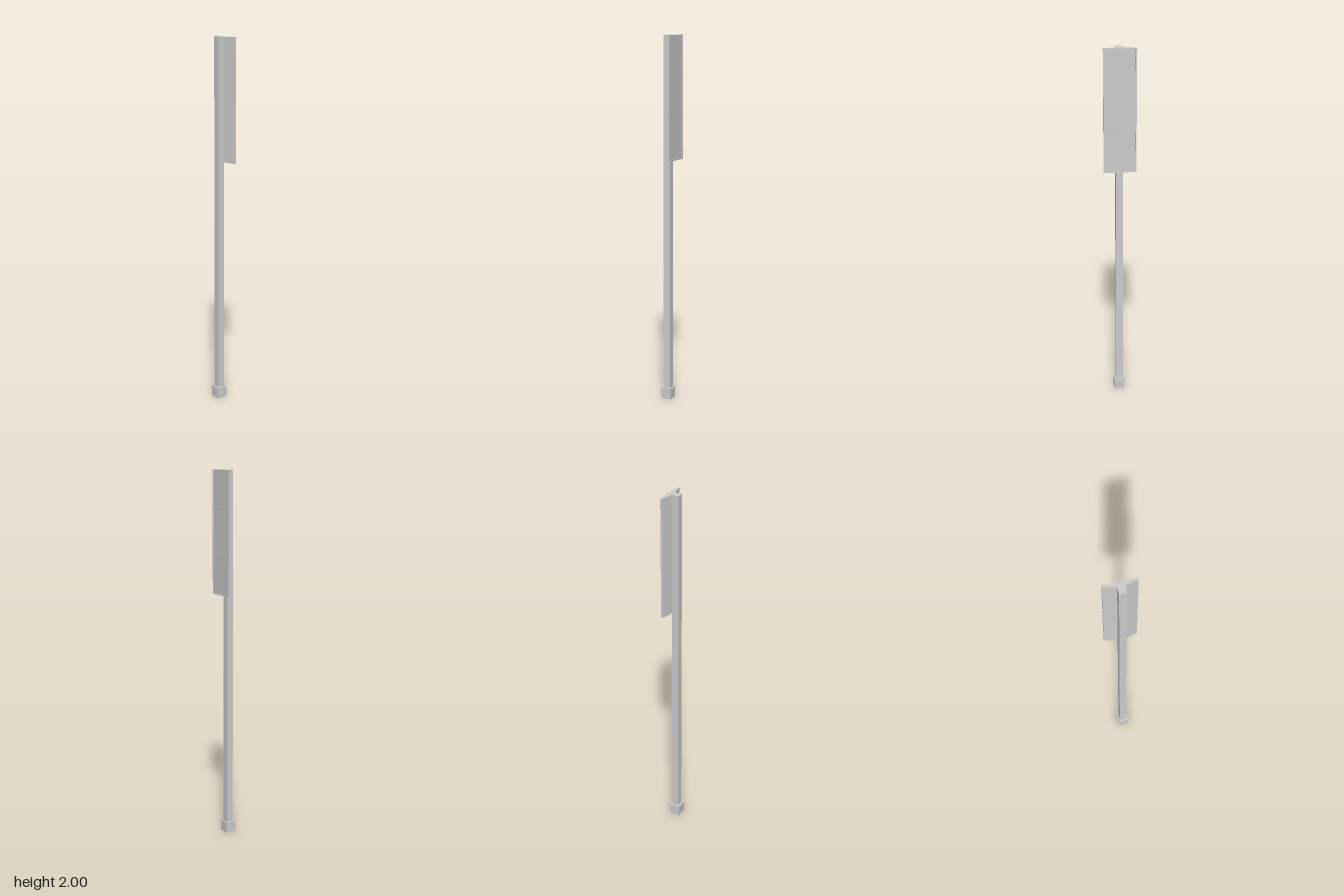
import * as THREE from 'three';

const material = new THREE.MeshStandardMaterial({ color: 0xcccccc, flatShading: true });
const BOTTOM = 1.335, TOP = 2, HALF = 0.087; // sign extents
const BACK = -0.04, RECESS = 0.005, BORDER = 0.007;
const POLE_Z = 0.006;

function add(group, name, geometry, x = 0, y = 0, z = 0) {
  const mesh = new THREE.Mesh(geometry, material);
  mesh.name = name;
  mesh.position.set(x, y, z);
  group.add(mesh);
}

function rect(path, x0, y0, x1, y1) {
  path.moveTo(x0, y0).lineTo(x1, y0).lineTo(x1, y1).lineTo(x0, y1).closePath();
  return path;
}

export function createModel() {
  const model = new THREE.Group();
  model.name = 'signPost';

  // Square foot and pole
  add(model, 'foot', new THREE.BoxGeometry(0.059, 0.06, 0.06), 0, 0.03, 0.0075);
  add(model, 'pole', new THREE.BoxGeometry(0.038, 1.94, 0.038), 0, 1.03, POLE_Z);

  // Tapered housing, drawn in plan (x, -z) and extruded upwards
  const plan = new THREE.Shape([
    [-HALF, 0.029], [-0.019, 0.013], [0.019, 0.013],
    [HALF, 0.029], [HALF, -BACK - RECESS], [-HALF, -BACK - RECESS],
  ].map(([x, y]) => new THREE.Vector2(x, y)));
  const housing = new THREE.ExtrudeGeometry(plan, { depth: TOP - BOTTOM, bevelEnabled: false });
  housing.rotateX(-Math.PI / 2);
  add(model, 'housing', housing, 0, BOTTOM, 0);

  // Raised rim on the back around three stacked display panels
  const rim = rect(new THREE.Shape(), -HALF, BOTTOM, HALF, TOP);
  const step = (TOP - BOTTOM - BORDER) / 3;
  for (let i = 0; i < 3; i++) {
    const y = BOTTOM + BORDER + i * step;
    rim.holes.push(rect(new THREE.Path(), -HALF + BORDER, y, HALF - BORDER, y + step - BORDER));
  }
  add(model, 'displayFrame', new THREE.ExtrudeGeometry(rim, { depth: RECESS, bevelEnabled: false }), 0, 0, BACK);

  return model;
}
